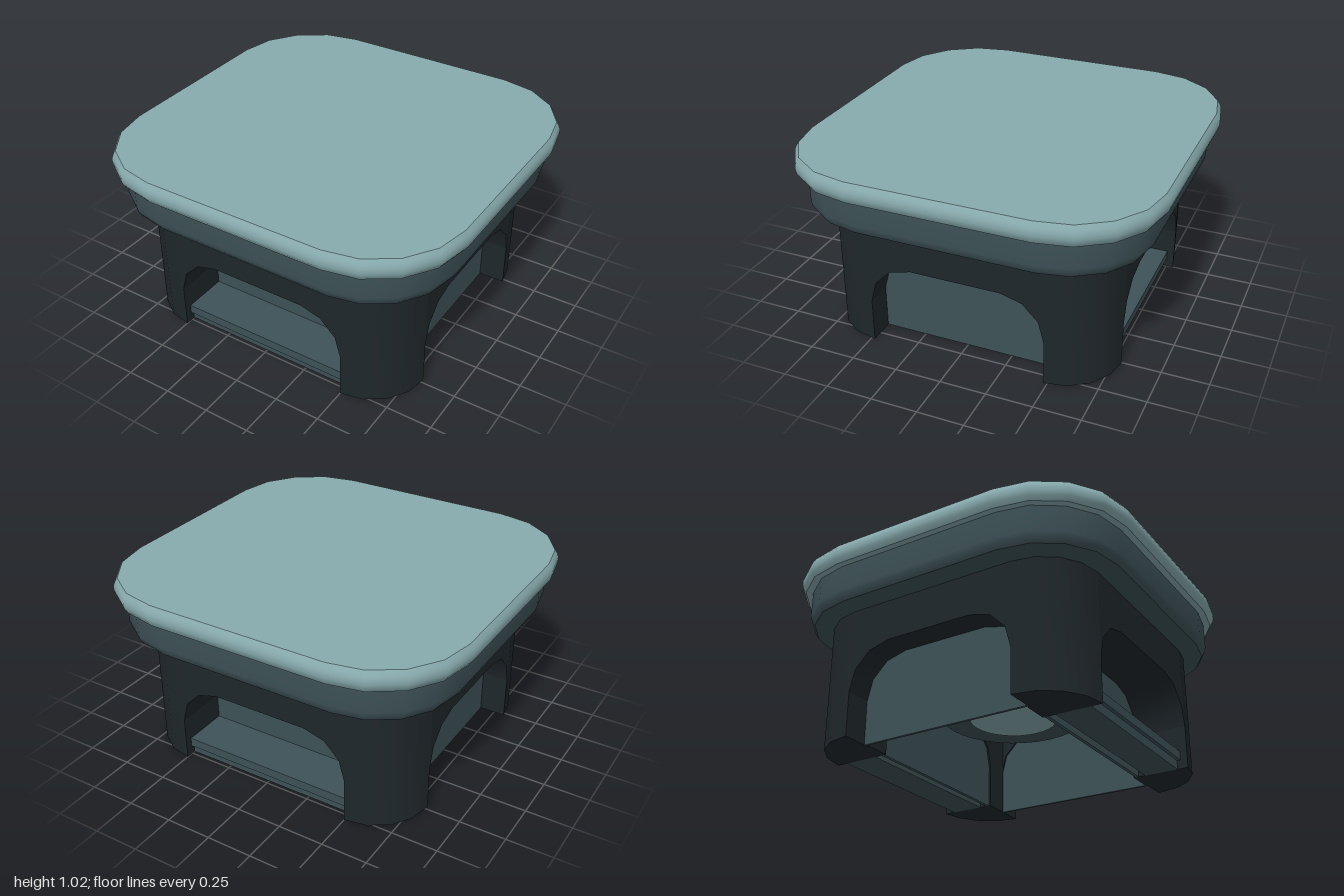
import * as THREE from 'three';
import { toCreasedNormals } from 'three/addons/utils/BufferGeometryUtils.js';

const lidMat = new THREE.MeshStandardMaterial({ color: 0x88abae });
const trimMat = new THREE.MeshStandardMaterial({ color: 0x3e5258 });
const bodyMat = new THREE.MeshStandardMaterial({ color: 0x1f272b });
const CREASE = 0.6;

function add(parent, name, geometry, material, x = 0, y = 0, z = 0) {
  const mesh = new THREE.Mesh(geometry, material);
  mesh.name = name;
  mesh.position.set(x, y, z);
  parent.add(mesh);
  return mesh;
}

// Outline of a rounded rectangle, counter-clockwise seen from above
function outline(hx, hz, r, segments = 4) {
  const pts = [];
  for (let q = 0; q < 4; q++) {
    const sx = q === 0 || q === 3 ? 1 : -1;
    const sz = q < 2 ? 1 : -1;
    for (let i = 0; i <= segments; i++) {
      const a = (q + i / segments) * Math.PI / 2;
      pts.push([sx * (hx - r) + r * Math.cos(a), sz * (hz - r) + r * Math.sin(a)]);
    }
  }
  return pts;
}

// Closed solid through rounded-rectangle rings; profile lists [inset, y] upward
function roundedSolid(hx, hz, r, profile) {
  const pos = [];
  const idx = [];
  const n = outline(hx, hz, r).length;
  for (const [inset, y] of profile) {
    for (const [x, z] of outline(hx - inset, hz - inset, r - inset)) pos.push(x, y, -z);
  }
  for (let k = 0; k < profile.length - 1; k++) {
    for (let i = 0; i < n; i++) {
      const a = k * n + i, b = k * n + (i + 1) % n;
      idx.push(a, b, b + n, a, b + n, a + n);
    }
  }
  const top = (profile.length - 1) * n;
  for (let i = 1; i < n - 1; i++) {
    idx.push(0, i + 1, i);
    idx.push(top, top + i, top + i + 1);
  }
  const g = new THREE.BufferGeometry();
  g.setAttribute('position', new THREE.Float32BufferAttribute(pos, 3));
  g.setIndex(idx);
  return toCreasedNormals(g, CREASE);
}

// Points of the arch from its right foot to its left foot
function archPoints(half, r = 0.235, top = 0.475) {
  const pts = [[half, 0]];
  for (const start of [0, 1]) {
    for (let i = 0; i <= 3; i++) {
      const a = (start + i / 3) * Math.PI / 2;
      const cx = (start ? -1 : 1) * (half - r);
      pts.push([cx + r * Math.cos(a), top - r + r * Math.sin(a)]);
    }
  }
  pts.push([-half, 0]);
  return pts;
}

function extrude(points, depth) {
  const shape = new THREE.Shape(points.map(([x, y]) => new THREE.Vector2(x, y)));
  const g = new THREE.ExtrudeGeometry(shape, { depth, bevelEnabled: false });
  return toCreasedNormals(g, CREASE);
}

export function createModel() {
  const model = new THREE.Group();
  const bodyTop = 0.7;
  const halfX = 0.81, halfZ = 0.79, radius = 0.31;
  const innerX = 0.64, innerZ = 0.47;
  const archX = halfX - radius, archZ = halfZ - radius;

  // Lid plate and the tray under it
  add(model, 'lid', roundedSolid(1, 0.98, 0.5,
    [[0.022, 0.905], [0.005, 0.93], [0, 0.95], [0, 0.975], [0.008, 0.995], [0.023, 1.017]]), lidMat);
  add(model, 'tray', roundedSolid(0.943, 0.922, 0.45,
    [[0.055, 0.7], [0.025, 0.71], [0.007, 0.735], [0, 0.765], [0, 0.906]]), trimMat);

  // Four rounded corner legs
  for (const sx of [1, -1]) {
    for (const sz of [1, -1]) {
      const foot = [[archX, innerZ], [archX, halfZ]];
      for (let i = 1; i <= 4; i++) {
        const a = (1 - i / 4) * Math.PI / 2;
        foot.push([archX + radius * Math.cos(a), archZ + radius * Math.sin(a)]);
      }
      foot.push([innerX, archZ], [innerX, innerZ]);
      const g = extrude(foot.map(([x, z]) => [sx * x, sz * z]), bodyTop);
      g.rotateX(-Math.PI / 2);
      add(model, 'cornerLeg', g, bodyMat);
    }
  }

  // Arched wall with a recessed panel on each side
  const sides = [
    { name: 'front', turn: 0, half: archX, outer: halfZ, inner: innerZ, panel: 0.5 },
    { name: 'left', turn: 1, half: archZ, outer: halfX, inner: innerX, panel: 0.665 },
    { name: 'back', turn: 2, half: archX, outer: halfZ, inner: innerZ, panel: 0.5 },
    { name: 'right', turn: 3, half: archZ, outer: halfX, inner: innerX, panel: 0.665 },
  ];
  for (const s of sides) {
    const side = new THREE.Group();
    side.name = s.name + 'Side';
    side.rotation.y = s.turn * Math.PI / 2;
    model.add(side);
    const arch = archPoints(s.half);
    const wall = [...arch.slice(1, -1), [-s.half, bodyTop], [s.half, bodyTop]];
    add(side, 'archWall', extrude(wall, s.outer - s.inner), bodyMat, 0, 0, s.inner);
    add(side, 'archPanel', extrude(arch, s.panel - s.inner - 0.01), trimMat, 0, 0, s.inner + 0.01);

    // Stepped rail across the front and back openings
    if (s.turn % 2 === 0) {
      add(side, 'railTop', new THREE.BoxGeometry(1, 0.05, 0.25), trimMat, 0, 0.075, 0.625);
      add(side, 'railBase', new THREE.BoxGeometry(1, 0.05, 0.19), trimMat, 0, 0.025, 0.635);
    }
  }

  // Round boss hanging inside the hollow body
  add(model, 'boss', new THREE.CylinderGeometry(0.4, 0.4, 0.42, 32), trimMat, 0, 0.5, 0);
  add(model, 'bossCap', new THREE.CylinderGeometry(0.24, 0.24, 0.02, 32), lidMat, 0, 0.282, 0);

  return model;
}
